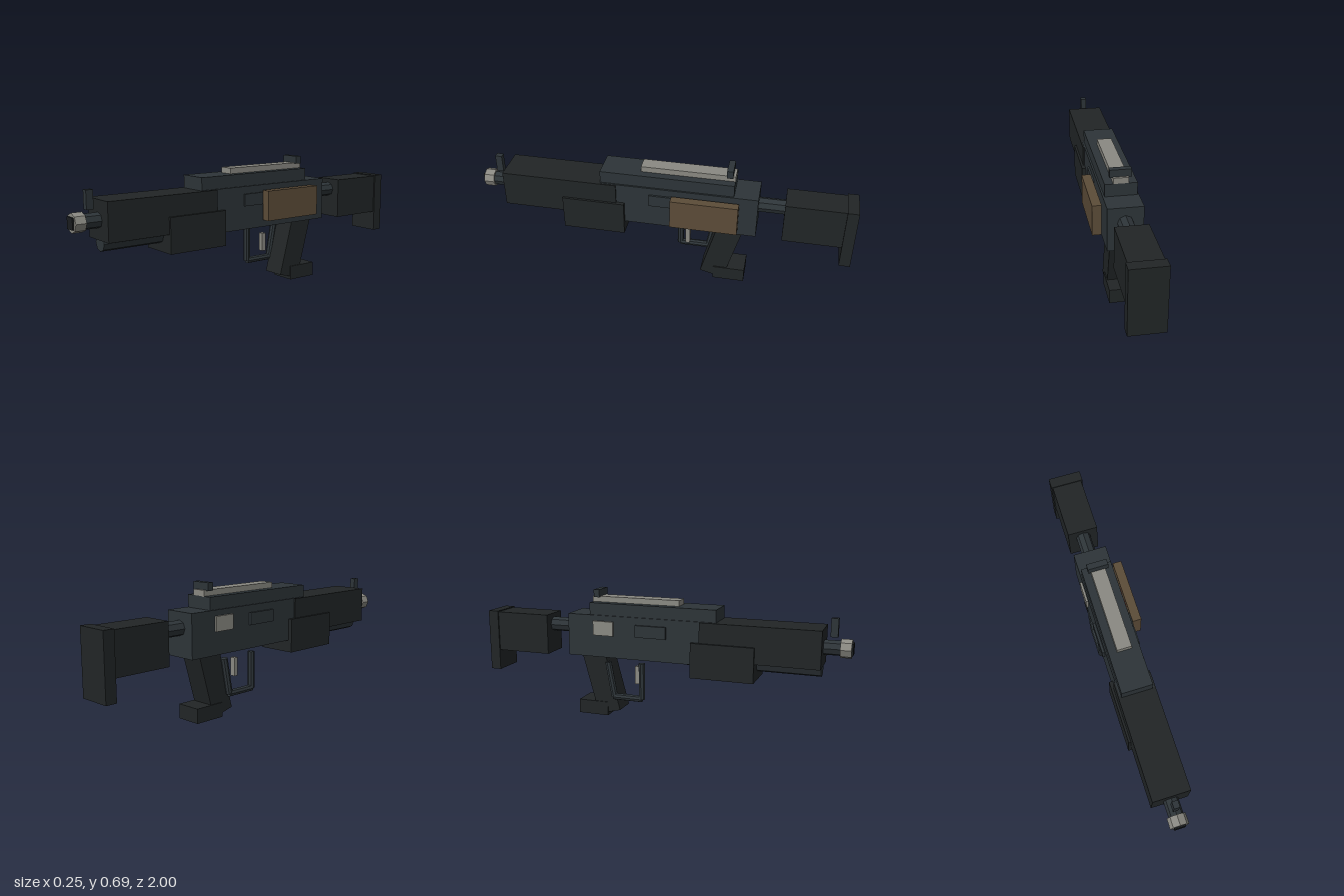
import * as THREE from 'three';

const mat = (color) => new THREE.MeshStandardMaterial({ color, flatShading: true });
const CX = -0.018; // centre line of the barrel

export function createModel() {
  const root = new THREE.Group();
  const polymer = mat(0x212526), steel = mat(0x2d3438), metal = mat(0x8a8982);
  const wood = mat(0x5c4c38), red = mat(0x8a2020), black = mat(0x191c1e);

  const add = (name, geometry, material) => {
    const mesh = new THREE.Mesh(geometry, material);
    mesh.name = name;
    root.add(mesh);
    return mesh;
  };
  // Box given by its limits on each axis
  const box = (name, material, [x0, x1], [y0, y1], [z0, z1]) => {
    const mesh = add(name, new THREE.BoxGeometry(x1 - x0, y1 - y0, z1 - z0), material);
    mesh.position.set((x0 + x1) / 2, (y0 + y1) / 2, (z0 + z1) / 2);
  };
  // Eight-sided rod between two points
  const rod = (name, material, radius, from, to) => {
    const a = new THREE.Vector3(...from), b = new THREE.Vector3(...to);
    const dir = b.clone().sub(a);
    const mesh = add(name, new THREE.CylinderGeometry(radius, radius, dir.length(), 8), material);
    mesh.position.copy(a).add(b).multiplyScalar(0.5);
    mesh.quaternion.setFromUnitVectors(new THREE.Vector3(0, 1, 0), dir.normalize());
  };

  // Body
  box('receiver', steel, [-0.107, 0.07], [0.333, 0.56], [-0.5, 0.32]);
  box('topCover', steel, [-0.1, 0.061], [0.55, 0.625], [-0.375, 0.325]);
  box('topRail', metal, [-0.057, 0.019], [0.62, 0.655], [-0.375, 0.115]);
  box('rearSight', steel, [-0.073, 0.035], [0.651, 0.692], [-0.362, -0.33]);
  box('handguard', polymer, [-0.115, 0.078], [0.364, 0.558], [0.24, 0.857]);
  box('foreGrip', polymer, [-0.127, 0.09], [0.267, 0.451], [0.197, 0.53]);

  // Barrel, muzzle and lower tube
  rod('barrel', steel, 0.038, [CX, 0.46, 0.8], [CX, 0.46, 0.95]);
  rod('muzzle', metal, 0.048, [CX, 0.46, 0.938], [CX, 0.46, 0.992]);
  box('bore', black, [-0.047, 0.01], [0.431, 0.489], [0.95, 1]);
  box('frontSight', steel, [-0.033, -0.003], [0.515, 0.608], [0.886, 0.922]);
  rod('lowerTube', steel, 0.043, [CX, 0.351, 0.147], [CX, 0.351, 0.853]);

  // Side details
  box('sidePanelLeft', steel, [0.06, 0.08], [0.457, 0.521], [-0.11, 0.065]);
  box('sidePanelRight', steel, [-0.12, -0.1], [0.457, 0.521], [-0.11, 0.06]);
  box('ejectionPlate', metal, [-0.119, -0.1], [0.453, 0.53], [-0.35, -0.235]);
  box('sideMount', red, [0.06, 0.085], [0.415, 0.49], [-0.27, -0.16]);
  box('sideBlock', wood, [0.08, 0.127], [0.372, 0.532], [-0.405, -0.055]);

  // Stock
  rod('stockRod', steel, 0.039, [CX, 0.48, -0.66], [CX, 0.48, -0.48]);
  box('stock', polymer, [-0.1, 0.062], [0.322, 0.54], [-0.95, -0.635]);
  box('buttPlate', polymer, [-0.107, 0.07], [0.21, 0.545], [-1, -0.942]);

  // Slanted grip: side profile in (-z, y), extruded across x
  const profile = new THREE.Shape([[0.214, 0.037], [0.34, 0.004], [0.434, 0.345], [0.297, 0.345]]
    .map(([z, y]) => new THREE.Vector2(z, y)));
  const gripGeometry = new THREE.ExtrudeGeometry(profile, { depth: 0.126, bevelEnabled: false });
  gripGeometry.rotateY(Math.PI / 2);
  const grip = add('grip', gripGeometry, polymer);
  grip.position.x = -0.082;
  box('gripBase', polymer, [-0.087, 0.05], [0, 0.076], [-0.455, -0.285]);

  // Trigger and its guard
  box('trigger', metal, [-0.033, -0.004], [0.179, 0.277], [-0.145, -0.121]);
  const gx = -0.091;
  rod('guardFront', steel, 0.018, [gx, 0.115, -0.081], [gx, 0.312, -0.081]);
  rod('guardBottom', steel, 0.018, [gx, 0.116, -0.081], [gx, 0.116, -0.245]);
  rod('guardRear', steel, 0.018, [gx, 0.116, -0.24], [gx, 0.305, -0.275]);

  return root;
}
